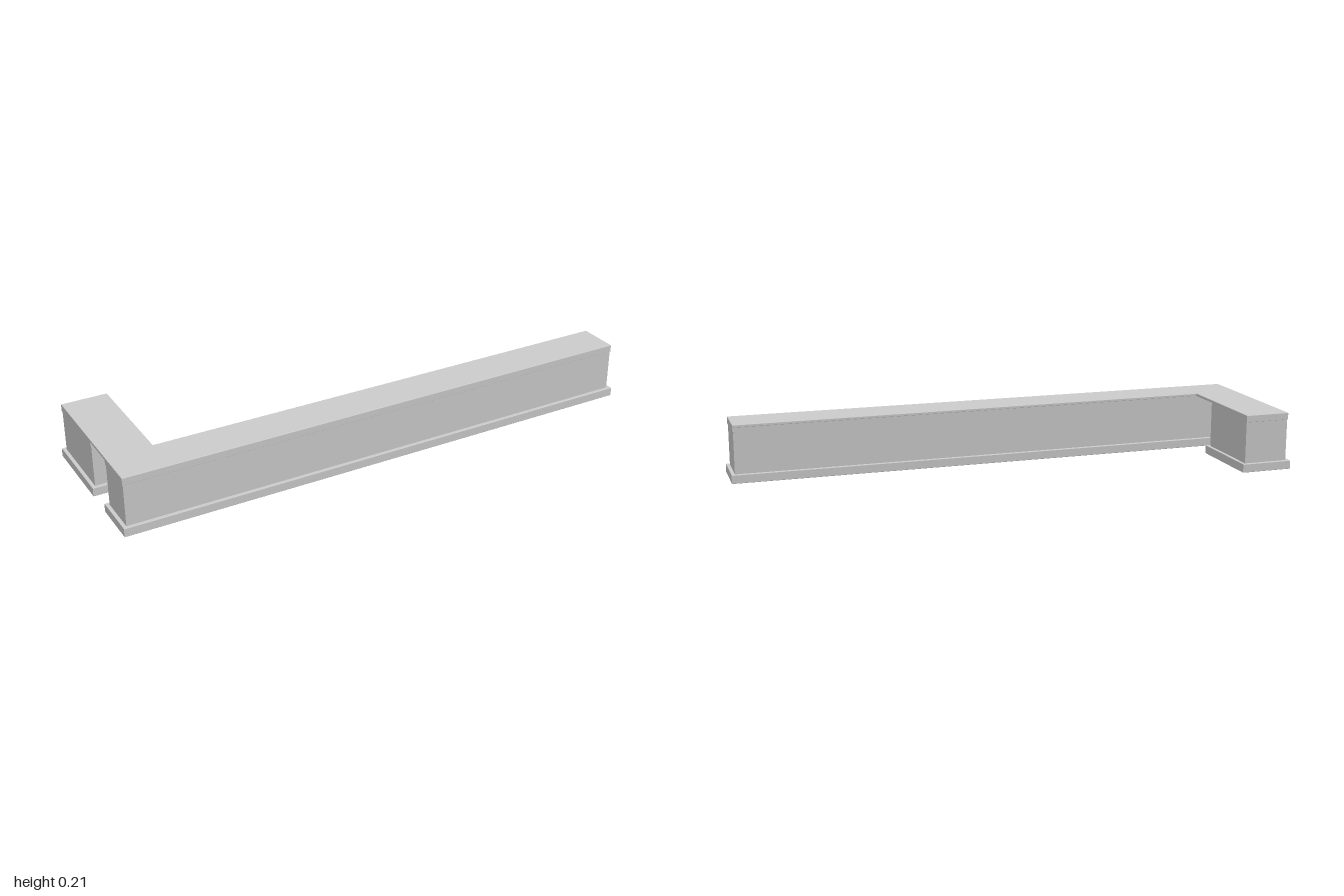
import * as THREE from 'three';
import { RoundedBoxGeometry } from 'three/addons/geometries/RoundedBoxGeometry.js';

const material = new THREE.MeshStandardMaterial({ color: 0xcccccc });

// A rectangle on the floor plan: x0, x1, z0, z1
const grow = ([x0, x1, z0, z1], d) => [x0 - d, x1 + d, z0 - d, z1 + d];
const toPlan = (points) => points.map(([x, z]) => new THREE.Vector2(x, -z));
const corners = ([x0, x1, z0, z1]) => toPlan([[x0, z1], [x1, z1], [x1, z0], [x0, z0]]);

// Raises a floor plan outline, with an optional opening and softened edges, from y0 to y1
function raise(name, outline, opening, y0, y1, bevel = 0) {
  const shape = new THREE.Shape(outline);
  if (opening) shape.holes.push(new THREE.Path(opening));
  const geometry = new THREE.ExtrudeGeometry(shape, {
    depth: y1 - y0 - 2 * bevel,
    bevelEnabled: bevel > 0,
    bevelSize: bevel,
    bevelThickness: bevel,
    bevelOffset: -bevel,
    bevelSegments: 2
  });
  geometry.rotateX(-Math.PI / 2).translate(0, y0 + bevel, 0);
  const mesh = new THREE.Mesh(geometry, material);
  mesh.name = name;
  return mesh;
}

function lip(name, [x0, x1, z0, z1], y0, y1) {
  const geometry = new RoundedBoxGeometry(x1 - x0, y1 - y0, z1 - z0, 2, 0.001);
  const mesh = new THREE.Mesh(geometry, material);
  mesh.position.set((x0 + x1) / 2, (y0 + y1) / 2, (z0 + z1) / 2);
  mesh.name = name;
  return mesh;
}

// Hollow cabinet, open underneath, with a hollow skirting around its foot
function cabinet(name, plan) {
  const group = new THREE.Group();
  group.name = name;
  const skirt = grow(plan, 0.0135);
  group.add(
    raise('walls', corners(plan), corners(grow(plan, -0.012)), 0, 0.204),
    raise('skirting', corners(skirt), corners(grow(skirt, -0.008)), 0, 0.032, 0.0015),
    raise('skirtingTop', corners(grow(skirt, -0.004)), corners(grow(plan, -0.002)), 0.026, 0.0315)
  );
  return group;
}

export function createModel() {
  const model = new THREE.Group();
  model.name = 'counter';

  // Long front cabinet and short return cabinet
  model.add(
    cabinet('frontCabinet', [-0.9865, 0.9865, 0.137, 0.2865]),
    cabinet('returnCabinet', [-0.9865, -0.82, -0.2865, 0])
  );

  // L-shaped worktop, bridging the passage between the cabinets
  const worktop = toPlan([
    [-0.989, 0.288], [0.989, 0.288], [0.989, 0.1365],
    [-0.8195, 0.1365], [-0.8195, -0.288], [-0.989, -0.288]
  ]);
  model.add(raise('worktop', worktop, null, 0.202, 0.212, 0.0015));

  // Shallow lips hanging from the outer edges of the worktop
  const lips = {
    frontLip: [-0.989, 0.989, 0.282, 0.288],
    leftLip: [0.983, 0.989, 0.1355, 0.287],
    rightLip: [-0.989, -0.983, 0.1355, 0.287],
    returnSideLip: [-0.989, -0.983, -0.287, 0],
    returnBackLip: [-0.989, -0.8195, -0.288, -0.282]
  };
  for (const [name, plan] of Object.entries(lips)) model.add(lip(name, plan, 0.186, 0.206));

  return model;
}
